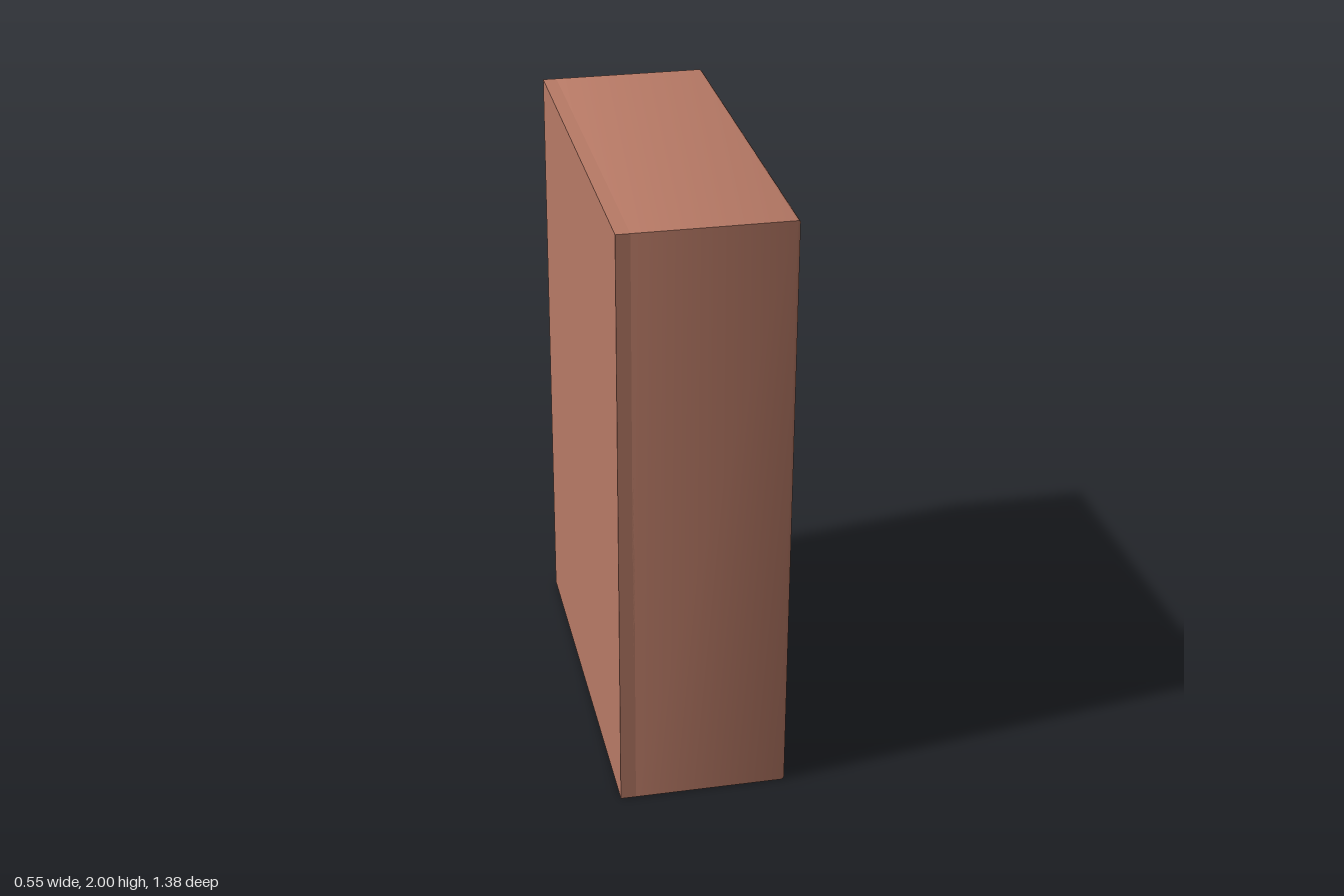
import * as THREE from 'three';
import { toCreasedNormals } from 'three/addons/utils/BufferGeometryUtils.js';

const mat = (name, color) => {
  const m = new THREE.MeshStandardMaterial({ color });
  m.name = name;
  return m;
};

function rect(path, x0, y0, x1, y1) {
  path.moveTo(x0, y0);
  path.lineTo(x1, y0);
  path.lineTo(x1, y1);
  path.lineTo(x0, y1);
  path.closePath();
  return path;
}

// Rectangle whose two corners on the +x side are rounded
function roundedFront(x0, x1, h, r) {
  const s = new THREE.Shape();
  s.moveTo(x0, -h);
  s.lineTo(x1 - r, -h);
  s.absarc(x1 - r, -h + r, r, -Math.PI / 2, 0, false);
  s.absarc(x1 - r, h - r, r, 0, Math.PI / 2, false);
  s.lineTo(x0, h);
  s.closePath();
  return s;
}

export function createModel() {
  const model = new THREE.Group();
  model.name = 'bookcase';
  const M = {
    wood: mat('brown wood', 0xb87a66),
    grey: mat('light grey', 0xbfc4c8),
    green: mat('dark green', 0x2f6b47),
    orange: mat('orange', 0xd98a2e),
    red: mat('rose red', 0xcc4a5a),
    blue: mat('blue', 0x4063a8),
    dark: mat('dark navy', 0x1b2a36),
  };
  const add = (name, geo, material, parent = model) => {
    const m = new THREE.Mesh(geo, material);
    m.name = name;
    parent.add(m);
    return m;
  };

  // Frame: a ring with a softened front edge, opening towards +x
  const ring = rect(new THREE.Shape(), -0.69, 0, 0.69, 2);
  ring.holes.push(rect(new THREE.Path(), -0.625, 0.067, 0.625, 1.938));
  const b = 0.012;
  const frame = new THREE.ExtrudeGeometry(ring, {
    depth: 0.52 - 2 * b, bevelThickness: b, bevelSize: b, bevelOffset: -b, bevelSegments: 3,
  });
  frame.translate(0, 0, -0.245 + b);
  frame.rotateY(Math.PI / 2);
  add('frame', toCreasedNormals(frame, 0.7), M.wood);

  // Back panel closes the rear
  add('backPanel', new THREE.BoxGeometry(0.05, 2, 1.38), M.wood).position.set(-0.253, 1, 0);

  // Three shelves with rounded front edges
  for (const [y0, y1] of [[0.485, 0.558], [0.97, 1.043], [1.462, 1.535]]) {
    const geo = new THREE.ExtrudeGeometry(roundedFront(-0.23, 0.268, (y1 - y0) / 2, 0.02), {
      depth: 1.25, bevelEnabled: false, curveSegments: 5,
    });
    geo.translate(0, (y0 + y1) / 2, -0.625);
    add('shelf', toCreasedNormals(geo, 0.6), M.wood);
  }

  // Books: colour, centre z at the base, thickness, base y, height, lean angle
  const books = [
    ['wood', -0.048, 0.032, 1.548, 0.312, 0],
    ['green', -0.09, 0.032, 1.548, 0.242, 0],
    ['orange', -0.149, 0.066, 1.548, 0.242, 0],
    ['red', -0.213, 0.032, 1.548, 0.275, 0],
    ['grey', 0.572, 0.069, 1.065, 0.312, 0],
    ['grey', 0.487, 0.069, 1.065, 0.312, 0],
    ['wood', -0.437, 0.032, 0.59, 0.305, -0.35],
    ['green', -0.483, 0.032, 0.59, 0.242, -0.26],
    ['dark', -0.58, 0.036, 0.59, 0.242, 0],
    ['grey', 0.521, 0.067, 0.105, 0.313, 0],
    ['blue', 0.445, 0.067, 0.105, 0.277, 0],
    ['grey', 0.173, 0.067, 0.105, 0.313, 0],
    ['orange', 0.096, 0.067, 0.105, 0.243, 0],
    ['dark', -0.02, 0.032, 0.105, 0.242, 0.16],
  ];
  books.forEach(([color, z, w, y, h, lean], i) => {
    const book = new THREE.Group();
    book.name = color === 'wood' ? 'brownBook' : color + 'Book';
    const r = w > 0.05 ? 0.024 : 0.004;
    const geo = new THREE.ExtrudeGeometry(roundedFront(-0.055, 0.18, w / 2, r), {
      depth: h, bevelEnabled: false, curveSegments: 5,
    });
    geo.rotateX(-Math.PI / 2);
    add('cover', toCreasedNormals(geo, 0.6), M[color], book);
    // Thin pale stripe on the last book's spine
    if (i === books.length - 1) {
      add('spineStripe', new THREE.BoxGeometry(0.004, h * 0.85, 0.007), M.grey, book)
        .position.set(0.18, h / 2, 0);
    }
    book.position.set(0, y, z);
    book.rotation.x = lean;
    model.add(book);
  });

  return model;
}
